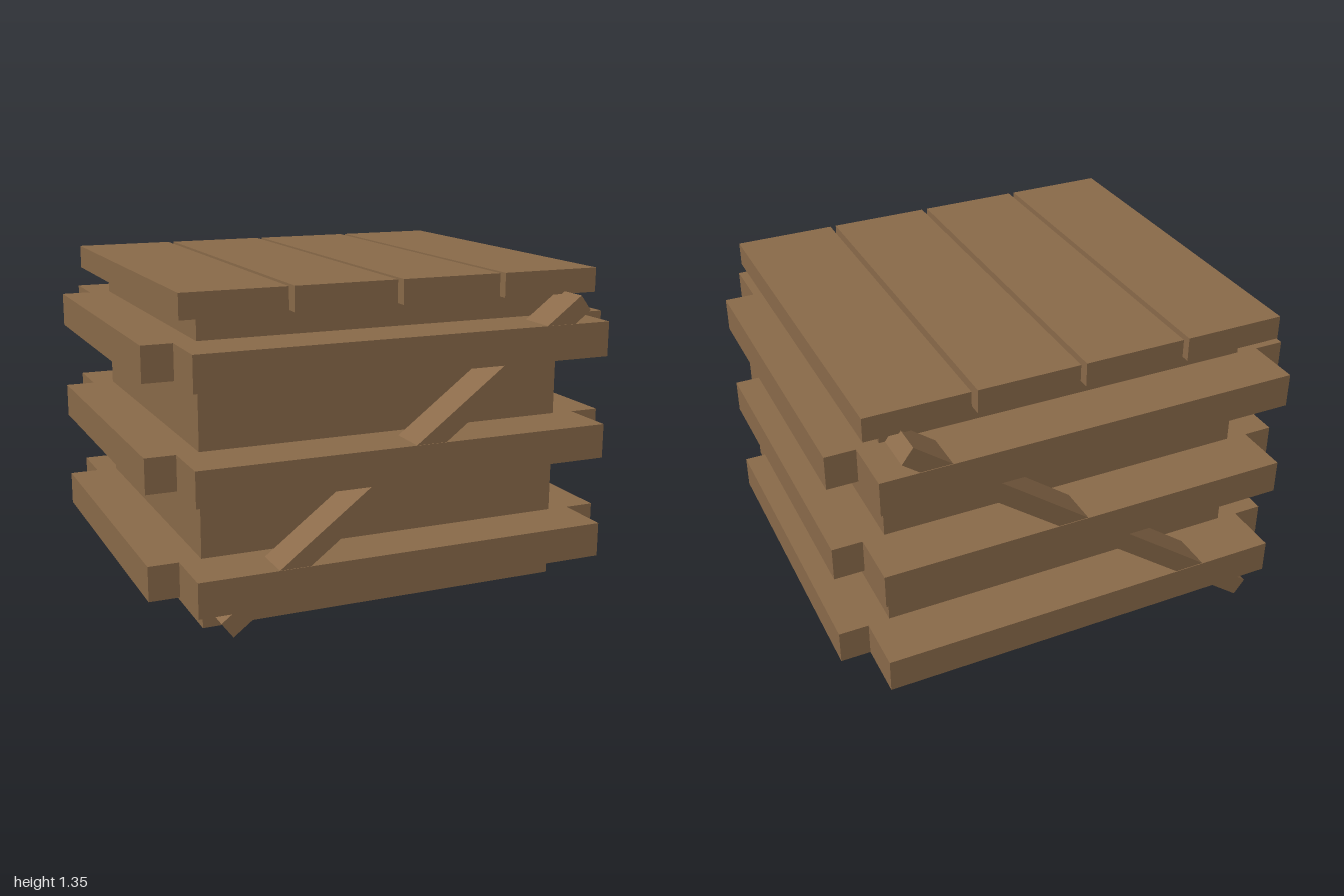
import * as THREE from 'three';

export function createModel() {
  const model = new THREE.Group();
  const wood = new THREE.MeshStandardMaterial({ color: 0x8b6b4a });
  wood.name = 'brown wood';

  // Adds a plank given its size and centre
  function plank(name, w, h, d, x, y, z) {
    const mesh = new THREE.Mesh(new THREE.BoxGeometry(w, h, d), wood);
    mesh.name = name;
    mesh.position.set(x, y, z);
    model.add(mesh);
    return mesh;
  }

  // Crate body
  plank('body', 1.57, 1.255, 1.336, 0, 0.6275, 0);

  // Three bands of slats around the body
  for (const y of [0.216, 0.644, 1.071]) {
    for (const side of [-1, 1]) {
      plank('faceSlat', 1.75, 0.143, 0.24, 0, y, side * 0.788);
      plank('sideSlat', 0.215, 0.143, 1.345, side * 0.8925, y, 0);
    }
  }

  // Diagonal braces on the front and back
  for (const side of [-1, 1]) {
    const brace = plank('diagonalBrace', 1.907, 0.077, 0.165, 0, 0.6525, side * 0.8225);
    brace.rotation.z = Math.atan2(3, 4);
  }

  // Lid boards with narrow gaps
  for (let i = 0; i < 4; i++) {
    plank('lidBoard', 0.424, 0.1, 1.57, (i - 1.5) * 0.449, 1.295, 0);
  }

  return model;
}
